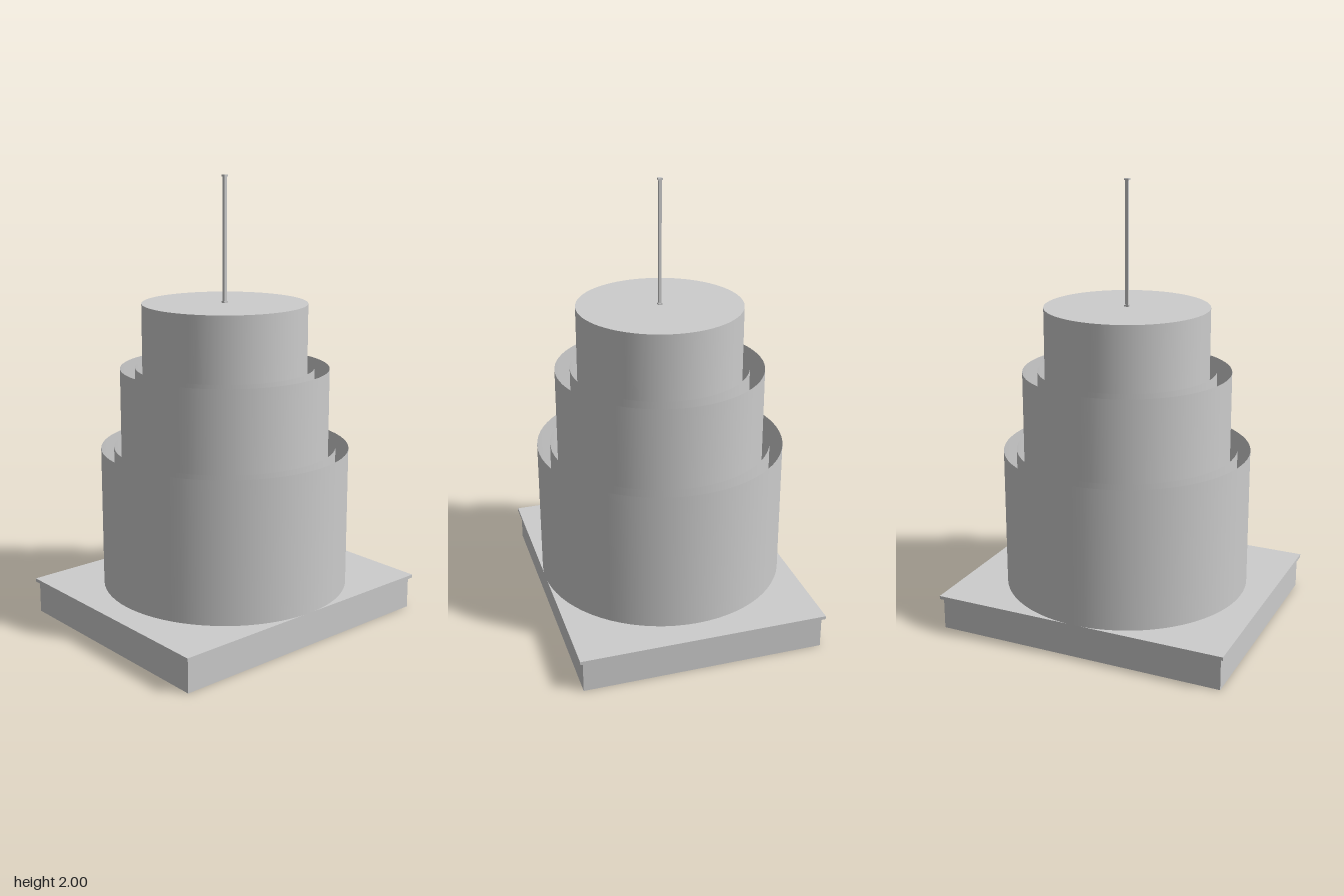
import * as THREE from 'three';

const grey = new THREE.MeshStandardMaterial({ color: 0xcccccc, side: THREE.DoubleSide });
grey.name = 'light grey';

const DECK = 0.16; // top of the base slab

function add(group, name, geometry, x, y, z) {
  const mesh = new THREE.Mesh(geometry, grey);
  mesh.name = name;
  mesh.position.set(x, y, z);
  group.add(mesh);
  return mesh;
}

// Thin vertical drum wall, open or closed at the ends, standing on the slab
function addDrum(group, name, radius, top, open = true) {
  const height = top - DECK;
  const geometry = new THREE.CylinderGeometry(radius, radius, height, 72, 1, open);
  add(group, name, geometry, 0, DECK + height / 2, 0);
}

export function createModel() {
  const model = new THREE.Group();
  model.name = 'tieredTower';

  // Hollow plinth: four thin walls, open underneath
  const halfX = 0.665, halfZ = 0.543, wallTop = 0.145;
  for (const side of [-1, 1]) {
    const end = add(model, 'plinthEndWall', new THREE.PlaneGeometry(halfZ * 2, wallTop), side * halfX, wallTop / 2, 0);
    end.rotation.y = side * Math.PI / 2;
    const long = add(model, 'plinthLongWall', new THREE.PlaneGeometry(halfX * 2, wallTop), 0, wallTop / 2, side * halfZ);
    long.rotation.y = side > 0 ? 0 : Math.PI;
  }

  // Slab with a small overhang
  add(model, 'baseSlab', new THREE.BoxGeometry(1.356, DECK - wallTop, 1.114), 0, (DECK + wallTop) / 2, 0);

  // Nested open drums, each with a slightly taller inner lining
  addDrum(model, 'lowerDrum', 0.558, 0.797);
  addDrum(model, 'lowerLining', 0.5, 0.8);
  addDrum(model, 'middleDrum', 0.467, 1.157);
  addDrum(model, 'middleLining', 0.4, 1.16);
  addDrum(model, 'upperDrum', 0.368, 1.445, false);

  // Mast with square foot and cap
  add(model, 'mast', new THREE.BoxGeometry(0.013, 0.555, 0.013), 0, 1.7225, 0);
  add(model, 'mastFoot', new THREE.BoxGeometry(0.02, 0.008, 0.02), 0, 1.449, 0);
  add(model, 'mastCap', new THREE.BoxGeometry(0.02, 0.008, 0.02), 0, 1.996, 0);

  return model;
}
